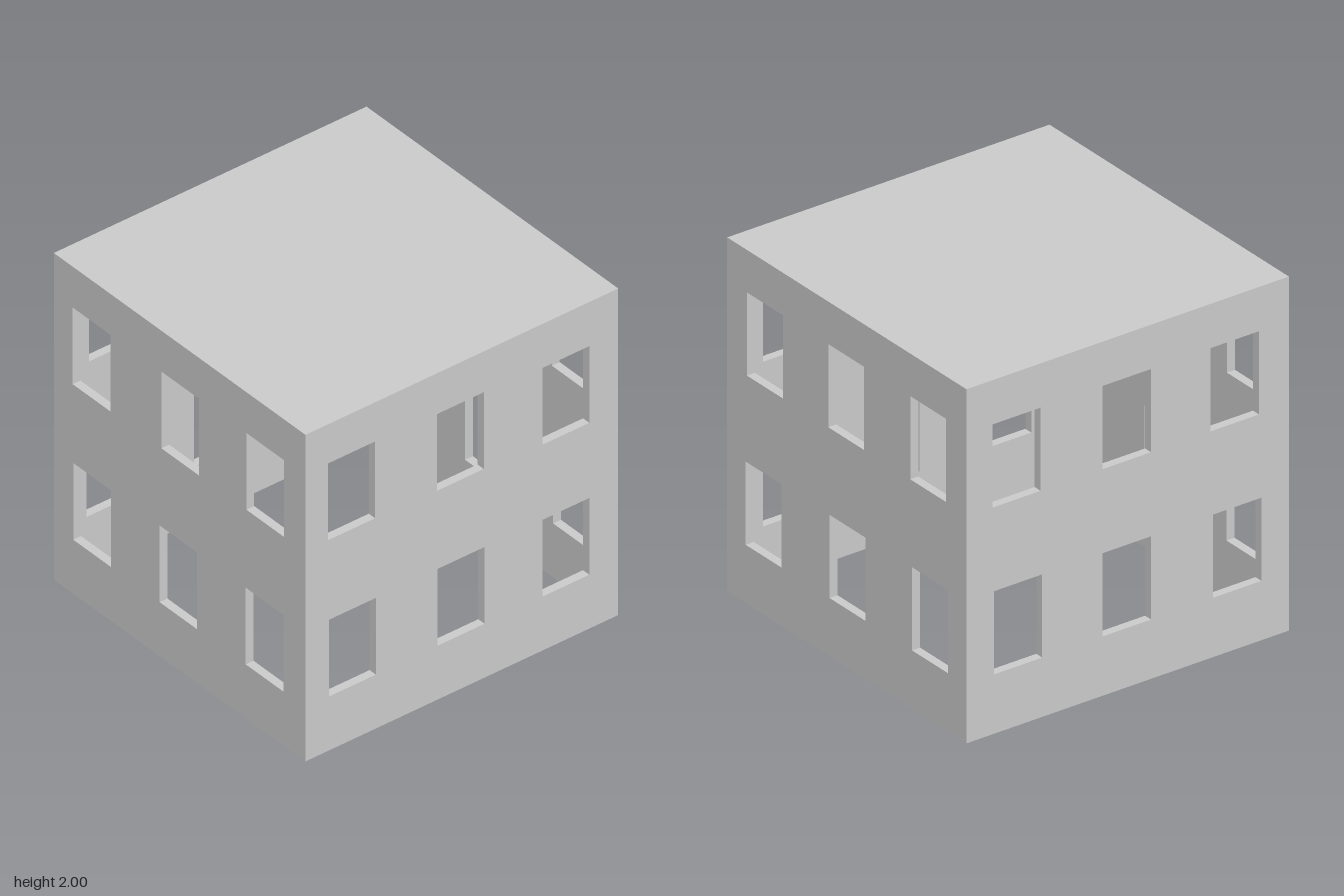
import * as THREE from 'three';

const T = 0.05;               // wall thickness
const WIN_W = 0.3, WIN_H = 0.47;
const material = new THREE.MeshStandardMaterial({ color: 0xcccccc });

// A 2 x 2 panel facing +z at z = 1, mitred inwards so that panels meet cleanly.
// Windows are [left edge, bottom edge above the ground]. An open base keeps its rim.
function panel(name, windows, openBase) {
  const shape = new THREE.Shape([[-1, -1], [1, -1], [1, 1], [-1, 1]].map(p => new THREE.Vector2(...p)));
  for (const [x, base] of windows) {
    const y = base - 1;
    shape.holes.push(new THREE.Path([[x, y], [x, y + WIN_H], [x + WIN_W, y + WIN_H], [x + WIN_W, y]]
      .map(p => new THREE.Vector2(...p))));
  }
  const solid = new THREE.ExtrudeGeometry(shape, { depth: T, bevelEnabled: false });
  solid.translate(0, 0, 1 - T);

  const src = solid.toNonIndexed().attributes.position;
  const points = [];
  for (let i = 0; i < src.count; i += 3) {
    const tri = [0, 1, 2].map(k => new THREE.Vector3().fromBufferAttribute(src, i + k));
    // leave out the hidden joint faces between neighbouring panels
    const on = (axis, v) => tri.every(p => Math.abs(p[axis] - v) < 1e-4);
    if (on('x', 1) || on('x', -1) || on('y', 1) || (!openBase && on('y', -1))) continue;
    for (const p of tri) {
      if (p.z < 1 - T / 2) {
        if (Math.abs(p.x) > 0.999) p.x = Math.sign(p.x) * (1 - T);
        if (p.y > 0.999) p.y = 1 - T;
        if (p.y < -0.999 && !openBase) p.y = -1 + T;
      }
      points.push(p);
    }
  }
  const geometry = new THREE.BufferGeometry().setFromPoints(points);
  geometry.computeVertexNormals();
  const mesh = new THREE.Mesh(geometry, material);
  mesh.name = name;
  return mesh;
}

export function createModel() {
  const building = new THREE.Group();
  building.name = 'building';

  // four walls, each with two slightly uneven rows of three windows
  const walls = [
    ['frontWall', 0, [[-0.85, 1.28], [-0.145, 1.28], [0.53, 1.28], [-0.845, 0.33], [-0.16, 0.33], [0.525, 0.33]]],
    ['leftWall', Math.PI / 2, [[-0.855, 1.29], [-0.16, 1.28], [0.515, 1.26], [-0.85, 0.33], [-0.155, 0.33], [0.515, 0.33]]],
    ['backWall', Math.PI, [[-0.835, 1.29], [-0.155, 1.29], [0.53, 1.29], [-0.845, 0.33], [-0.145, 0.33], [0.545, 0.33]]],
    ['rightWall', -Math.PI / 2, [[-0.84, 1.28], [-0.155, 1.28], [0.515, 1.28], [-0.83, 0.335], [-0.155, 0.335], [0.53, 0.335]]],
  ];
  for (const [name, angle, windows] of walls) {
    const wall = panel(name, windows, true);
    wall.rotation.y = angle;
    wall.position.y = 1;
    building.add(wall);
  }

  // flat roof
  const roof = panel('roof', [], false);
  roof.rotation.x = -Math.PI / 2;
  roof.position.y = 1;
  building.add(roof);

  return building;
}
